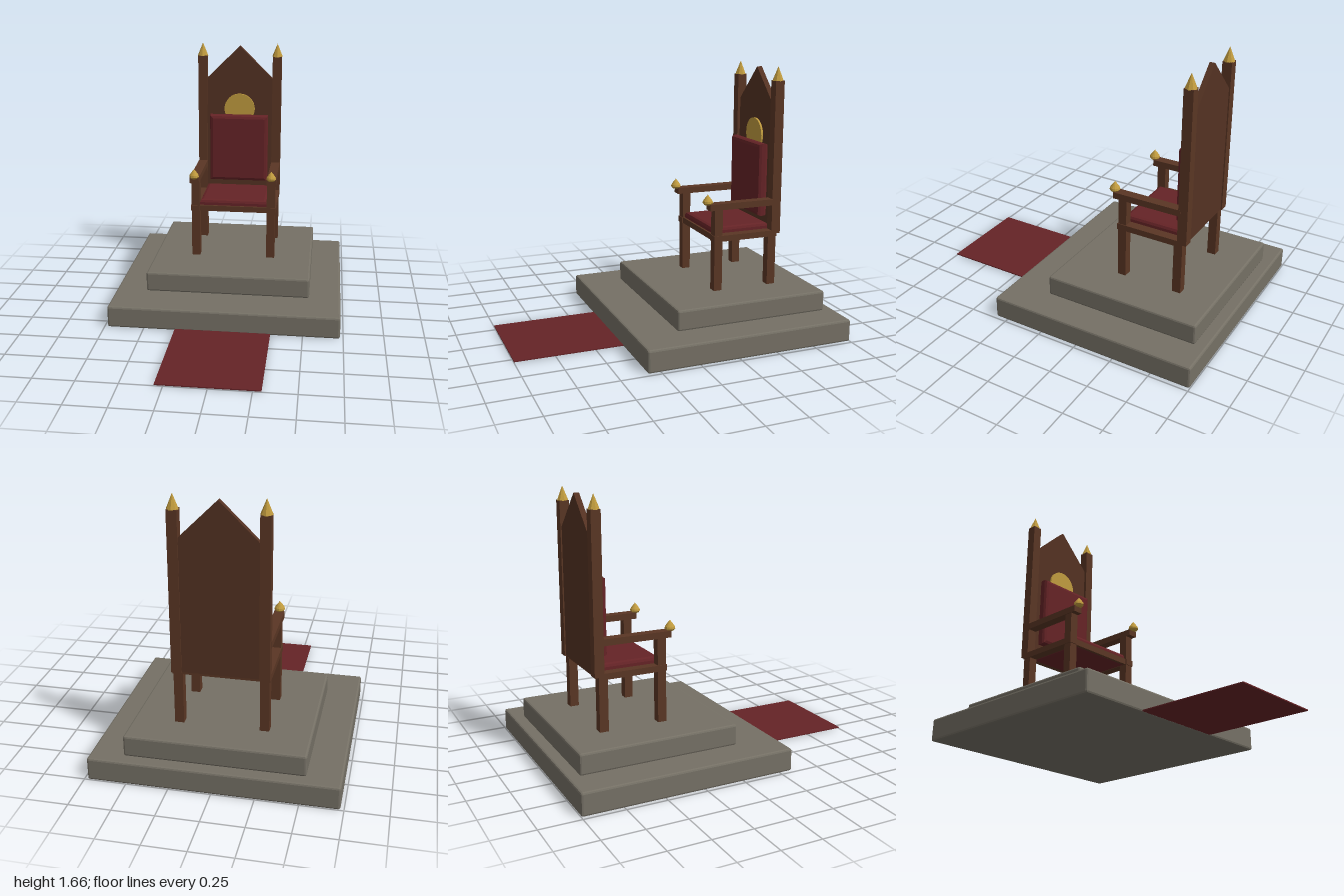
import * as THREE from 'three';
import { RoundedBoxGeometry } from 'three/addons/geometries/RoundedBoxGeometry.js';

export function createModel() {
  const mat = (name, color, flatShading = false) => {
    const m = new THREE.MeshStandardMaterial({ color, flatShading });
    m.name = name;
    return m;
  };
  const wood = mat('wood', 0x5a3624);
  const panelWood = mat('panelWood', 0x543222);
  const stone = mat('stone', 0x757065, true);
  const red = mat('redCloth', 0x652326, true);
  const gold = mat('gold', 0xbf9a3e, true);

  const model = new THREE.Group();
  model.name = 'throne';
  const add = (name, geometry, material) => {
    const mesh = new THREE.Mesh(geometry, material);
    mesh.name = name;
    model.add(mesh);
    return mesh;
  };
  // Box given by its extents along each axis
  const box = (name, material, [x0, x1], [y0, y1], [z0, z1], bevel = 0) => {
    const size = [x1 - x0, y1 - y0, z1 - z0];
    const g = bevel ? new RoundedBoxGeometry(...size, 1, bevel) : new THREE.BoxGeometry(...size);
    g.translate((x0 + x1) / 2, (y0 + y1) / 2, (z0 + z1) / 2);
    return add(name, g, material);
  };
  // Slab with mitred edges on both faces, centred on the origin, thin along z
  const cushion = (w, h, depth, bevel, bevelDepth) => {
    const a = w / 2 - bevel, b = h / 2 - bevel;
    const shape = new THREE.Shape([[-a, -b], [a, -b], [a, b], [-a, b]].map(p => new THREE.Vector2(...p)));
    const g = new THREE.ExtrudeGeometry(shape, {
      depth: depth - 2 * bevelDepth, bevelEnabled: true, bevelSize: bevel,
      bevelThickness: bevelDepth, bevelSegments: 2,
    });
    return g.translate(0, 0, bevelDepth - depth / 2);
  };

  // Stepped stone base and carpet
  box('lowerStep', stone, [-0.73, 0.73], [0, 0.14], [-1, 0.33], 0.012);
  box('upperStep', stone, [-0.53, 0.53], [0.14, 0.27], [-0.93, 0.065], 0.012);
  box('carpet', red, [-0.3, 0.3], [0.004, 0.011], [0.31, 1]);

  // Mirrored legs, posts, arms and finials
  const armKnob = [[0, 0], [0.022, 0], [0.032, 0.012], [0.03, 0.024], [0.016, 0.044], [0, 0.064]]
    .map(p => new THREE.Vector2(...p));
  for (const s of [-1, 1]) {
    const side = s > 0 ? 'left' : 'right';
    const span = (a, b) => (s > 0 ? [a, b] : [-b, -a]);
    box(side + 'FrontPost', wood, span(0.225, 0.28), [0.27, 0.79], [-0.336, -0.282]);
    box(side + 'RearLeg', wood, span(0.225, 0.28), [0.27, 0.61], [-0.71, -0.655]);
    box(side + 'SeatRail', wood, span(0.225, 0.285), [0.588, 0.626], [-0.712, -0.277]);
    box(side + 'BackPost', wood, span(0.225, 0.285), [0.605, 1.57], [-0.736, -0.676]);
    box(side + 'Arm', wood, span(0.225, 0.286), [0.79, 0.83], [-0.69, -0.248]);

    add(side + 'PostFinial', new THREE.ConeGeometry(0.036, 0.088, 8), gold)
      .position.set(s * 0.255, 1.612, -0.706);
    add(side + 'ArmFinial', new THREE.LatheGeometry(armKnob, 12), gold)
      .position.set(s * 0.255, 0.826, -0.243);
  }

  // Cross rails of the seat
  box('frontRail', wood, [-0.225, 0.225], [0.588, 0.626], [-0.312, -0.284]);
  box('rearRail', wood, [-0.225, 0.225], [0.588, 0.626], [-0.71, -0.67]);

  // Backrest panel and gable
  box('backPanel', panelWood, [-0.225, 0.225], [0.61, 1.415], [-0.728, -0.694]);
  const gable = new THREE.Shape([[-0.225, 1.415], [0.225, 1.415], [0, 1.637]].map(p => new THREE.Vector2(...p)));
  add('gable', new THREE.ExtrudeGeometry(gable, { depth: 0.034, bevelEnabled: false }), panelWood)
    .position.z = -0.728;

  // Gold disc on the backrest
  const disc = add('backDisc', new THREE.CylinderGeometry(0.105, 0.105, 0.014, 32), gold);
  disc.rotation.x = Math.PI / 2;
  disc.position.set(0, 1.205, -0.688);

  // Cushions
  add('backCushion', cushion(0.4, 0.465, 0.07, 0.022, 0.022), red).position.set(0, 0.937, -0.652);
  const seat = add('seatCushion', cushion(0.45, 0.385, 0.082, 0.022, 0.02), red);
  seat.rotation.x = -Math.PI / 2;
  seat.position.set(0, 0.623, -0.49);

  return model;
}
